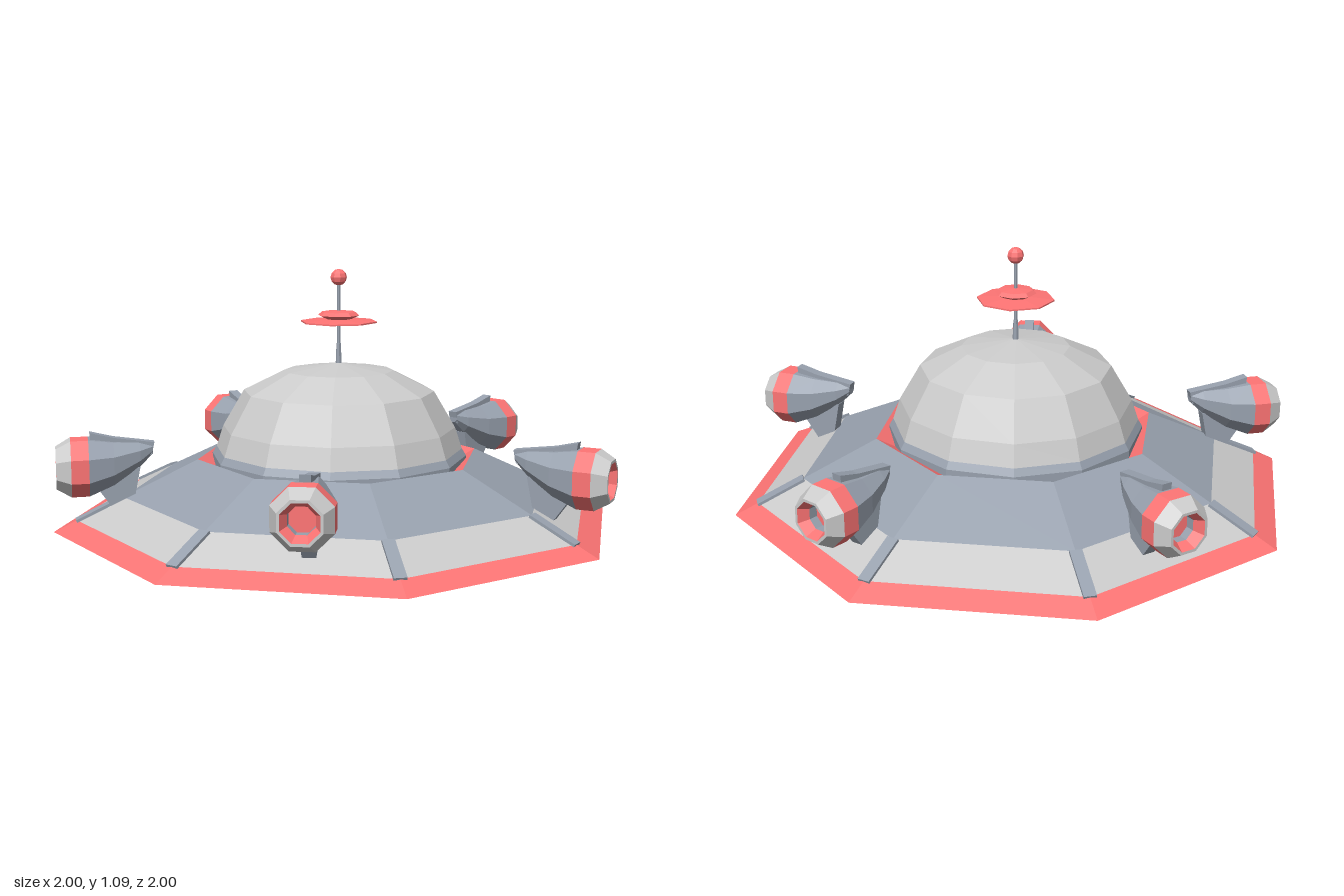
import * as THREE from 'three';

const mat = (color) => new THREE.MeshStandardMaterial({ color, flatShading: true });
const GREY = mat(0xcccccc), BLUE = mat(0x98a1ae), RED = mat(0xff7575);

function part(parent, name, geometry, material) {
  const mesh = new THREE.Mesh(geometry, material);
  mesh.name = name;
  parent.add(mesh);
  return mesh;
}

// faceted solid of revolution, profile as [radius, height] pairs
const turned = (points, sides, start = 0) =>
  new THREE.LatheGeometry(points.map((p) => new THREE.Vector2(...p)), sides, start);

// flat plate cut from a side outline, centred on its thickness
function plate(points, depth) {
  const shape = new THREE.Shape(points.map((p) => new THREE.Vector2(...p)));
  return new THREE.ExtrudeGeometry(shape, { depth, bevelEnabled: false }).translate(0, 0, -depth / 2);
}

const SLOPE = 0.47;
const onHull = (r) => [r, 0.2 + (1 - r) * SLOPE];

function createHull() {
  const hull = new THREE.Group();
  hull.name = 'hull';
  part(hull, 'underside', turned([[0.27, 0.06], [0.32, 0.063], [0.68, 0.162], [1, 0.2]], 8), BLUE);
  part(hull, 'rim', turned([onHull(1), onHull(0.92)], 8), RED);
  part(hull, 'panels', turned([onHull(0.92), onHull(0.76)], 8), GREY);
  part(hull, 'upperHull', turned([onHull(0.76), onHull(0.5)], 8), BLUE);
  part(hull, 'domeSeat', turned([onHull(0.5), [0.4, 0.38]], 8), RED);
  part(hull, 'base', turned([[0, 0], [0.27, 0], [0.325, 0.06], [0.28, 0.075]], 12, Math.PI / 12), RED);

  // ribs between the panels
  for (let i = 0; i < 8; i++) {
    const arm = new THREE.Group();
    arm.name = 'ribArm';
    arm.rotation.y = (i * Math.PI) / 4;
    const rib = part(arm, 'rib', new THREE.BoxGeometry(0.18, 0.012, 0.042), BLUE);
    rib.position.set(0.84, onHull(0.84)[1], 0);
    rib.rotation.z = -Math.atan(SLOPE);
    hull.add(arm);
  }
  return hull;
}

function createDome() {
  const dome = new THREE.Group();
  dome.name = 'dome';
  const start = Math.PI / 12;
  part(dome, 'domeCollar', turned([[0.45, 0.37], [0.45, 0.435], [0.435, 0.46]], 12, start), BLUE);
  part(dome, 'domeShell', turned(
    [[0.435, 0.46], [0.41, 0.535], [0.335, 0.663], [0.19, 0.735], [0, 0.762]], 12, start), GREY);
  return dome;
}

function createAntenna() {
  const antenna = new THREE.Group();
  antenna.name = 'antenna';
  part(antenna, 'mastFoot', new THREE.CylinderGeometry(0.008, 0.012, 0.09, 6).translate(0, 0.785, 0), BLUE);
  part(antenna, 'mast', new THREE.CylinderGeometry(0.006, 0.006, 0.24, 6).translate(0, 0.94, 0), BLUE);
  part(antenna, 'dish', turned(
    [[0, 0.9], [0.135, 0.903], [0.135, 0.908], [0.045, 0.915], [0.073, 0.928], [0.06, 0.94], [0, 0.945]], 8, Math.PI / 8), RED);
  part(antenna, 'tipBall', new THREE.SphereGeometry(0.029, 8, 6).translate(0, 1.06, 0), RED);
  return antenna;
}

// pod section along the outward x axis; its centre line rises toward the inner tip
function podSection(points) {
  const g = turned(points, 8, Math.PI / 8).rotateZ(-Math.PI / 2);
  const p = g.attributes.position;
  for (let i = 0; i < p.count; i++) {
    const t = Math.max(0, 0.9 - p.getX(i)) / 0.25;
    p.setY(i, p.getY(i) + 0.425 + 0.06 * t * t);
  }
  return g;
}

function createThruster(angle) {
  const pod = new THREE.Group();
  pod.name = 'thruster';
  part(pod, 'podBody', podSection(
    [[0, 0.655], [0.02, 0.655], [0.045, 0.7], [0.08, 0.79], [0.105, 0.875]]), BLUE);
  part(pod, 'podBand', podSection([[0.105, 0.875], [0.105, 0.935]]), RED);
  part(pod, 'podNose', podSection([[0.105, 0.935], [0.075, 0.985], [0.065, 0.985]]), GREY);
  part(pod, 'nozzleLip', podSection([[0.065, 0.985], [0.046, 0.95]]), RED);
  part(pod, 'nozzleThroat', podSection([[0.046, 0.95], [0.046, 0.92]]), BLUE);
  part(pod, 'nozzleCore', podSection([[0.046, 0.92], [0, 0.92]]), RED);
  // ridge on top and strut down to the hull
  part(pod, 'podFin', plate(
    [[0.66, 0.46], [0.86, 0.46], [0.87, 0.545], [0.79, 0.525], [0.65, 0.505]], 0.036), BLUE);
  part(pod, 'podStrut', plate(
    [[0.73, 0.27], [0.79, 0.27], [0.86, 0.37], [0.82, 0.42], [0.7, 0.42]], 0.045), BLUE);
  pod.rotation.y = angle;
  return pod;
}

export function createModel() {
  const model = new THREE.Group();
  model.name = 'flyingSaucer';
  model.add(createHull(), createDome(), createAntenna());
  for (let i = 0; i < 5; i++) model.add(createThruster(Math.PI + (i * Math.PI * 2) / 5));
  return model;
}
